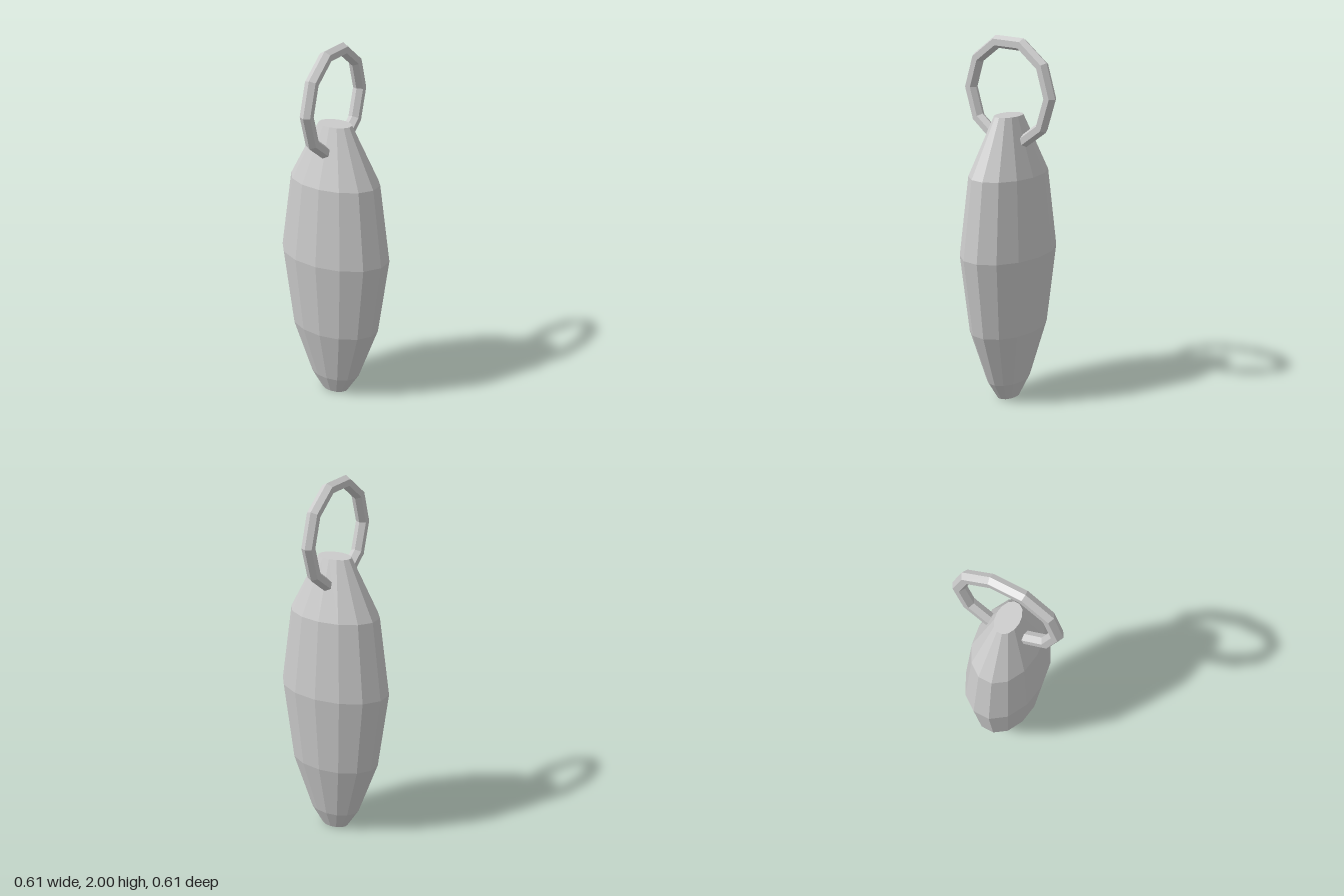
import * as THREE from 'three';

export function createModel() {
  const group = new THREE.Group();
  const material = new THREE.MeshStandardMaterial({ color: 0xcccccc, flatShading: true });

  // Oval, 14-sided weight with flat ends: [radius, height] from bottom to top
  const profile = [
    [0, 0], [0.077, 0], [0.144, 0.105], [0.256, 0.415], [0.315, 0.85],
    [0.256, 1.28], [0.094, 1.59], [0, 1.59],
  ].map(([r, y]) => new THREE.Vector2(r, y));
  const bodyGeometry = new THREE.LatheGeometry(profile, 14);
  bodyGeometry.scale(1, 1, 2 / 3);
  const body = new THREE.Mesh(bodyGeometry, material);
  body.name = 'body';
  group.add(body);

  // Ten-sided ring of hexagonal wire passing through the top of the body
  const ring = new THREE.Mesh(new THREE.TorusGeometry(0.271, 0.035, 6, 10), material);
  ring.name = 'ring';
  ring.rotation.y = Math.PI / 2;
  ring.position.set(-0.007, 1.709, 0);
  group.add(ring);

  return group;
}
